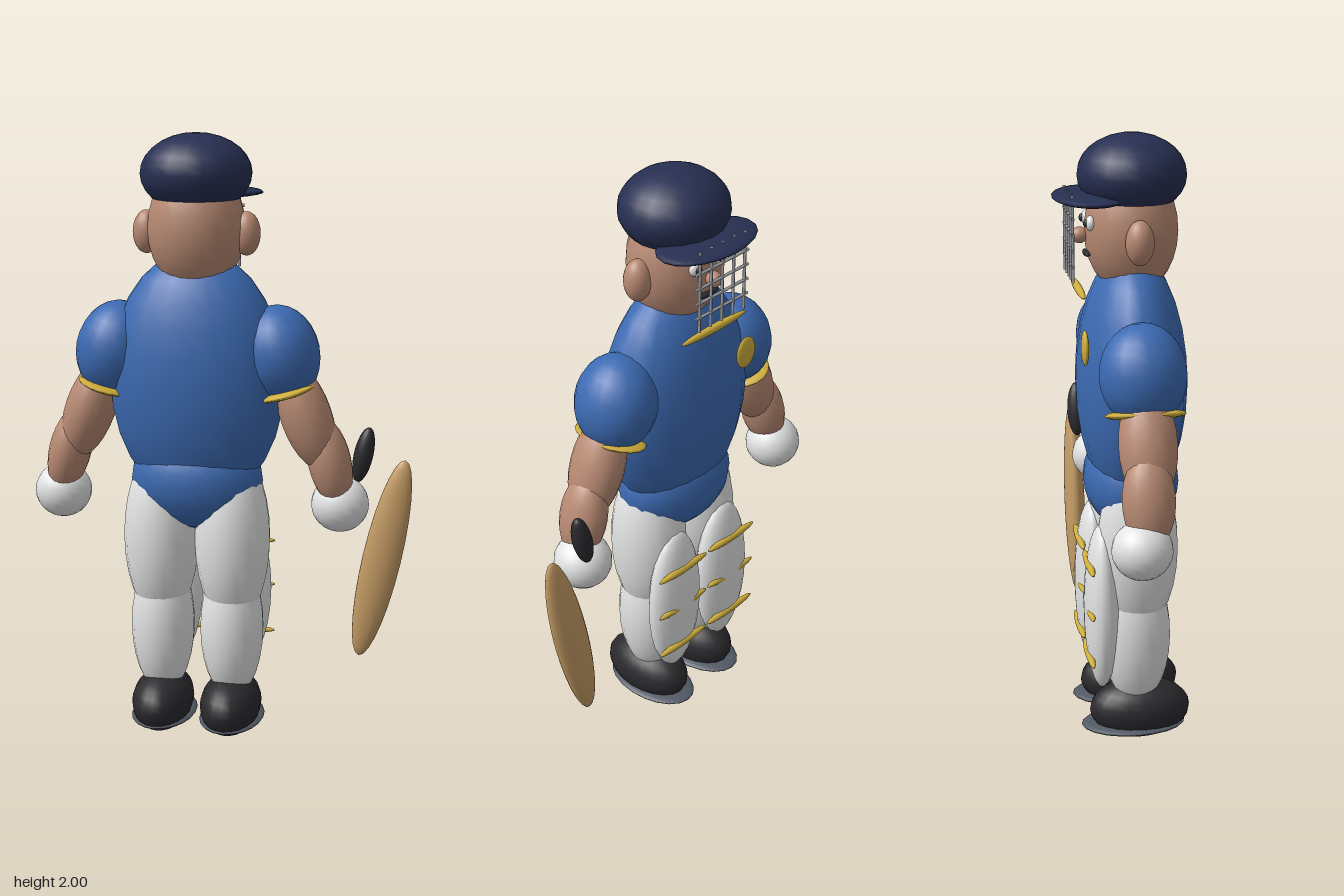
import * as THREE from 'three';

const mat = (name, color) => {
  const m = new THREE.MeshStandardMaterial({ color });
  m.name = name;
  return m;
};

export function createModel() {
  const navy = mat('navy', 0x272f52);
  const skin = mat('skin', 0xb88a73);
  const blue = mat('shirt blue', 0x3c6ab2);
  const gold = mat('gold', 0xcfae3c);
  const white = mat('white', 0xe2e3e3);
  const black = mat('black', 0x2a2a2e);
  const slate = mat('slate', 0x515964);
  const wood = mat('wood', 0xc49b64);
  const steel = mat('steel', 0xa3a6ac);

  const model = new THREE.Group();
  model.name = 'batsman';

  // The body stands left of the centre, since the bat widens the model on one side
  const body = new THREE.Group();
  body.name = 'body';
  body.position.x = -0.068;
  model.add(body);

  const ball = new THREE.SphereGeometry(1, 20, 14);
  const rod = new THREE.CylinderGeometry(0.005, 0.005, 1, 8);

  // Ellipsoid with centre, radii and tilt about z
  function blob(parent, name, material, [x, y, z], [rx, ry, rz], tilt = 0) {
    const m = new THREE.Mesh(ball, material);
    m.name = name;
    m.position.set(x, y, z);
    m.scale.set(rx, ry, rz);
    m.rotation.z = tilt;
    parent.add(m);
    return m;
  }

  // The same ellipsoid on both sides of the body
  function pair(name, material, [x, y, z], radii, tilt = 0) {
    blob(body, name + 'Left', material, [x, y, z], radii, tilt);
    blob(body, name + 'Right', material, [-x, y, z], radii, -tilt);
  }

  // Torso and pelvis
  blob(body, 'torso', blue, [0, 1.21, 0.033], [0.29, 0.42, 0.178]);
  blob(body, 'pelvis', blue, [0, 0.88, 0.033], [0.22, 0.17, 0.155]);
  blob(body, 'badge', gold, [-0.155, 1.36, -0.135], [0.043, 0.056, 0.012]);

  // Head and face, looking towards -z
  blob(body, 'head', skin, [0, 1.7, 0.033], [0.158, 0.21, 0.149]);
  pair('ear', skin, [0.163, 1.685, 0.035], [0.045, 0.07, 0.045]);
  blob(body, 'nose', skin, [0, 1.685, -0.13], [0.025, 0.026, 0.028]);
  pair('eye', white, [0.053, 1.73, -0.102], [0.024, 0.024, 0.016]);
  pair('pupil', black, [0.053, 1.73, -0.116], [0.012, 0.013, 0.009]);
  blob(body, 'mouth', black, [0, 1.628, -0.108], [0.045, 0.01, 0.012]);

  // Helmet with peak, face grille and chin strap
  blob(body, 'helmetDome', navy, [0, 1.873, 0.035], [0.18, 0.127, 0.173]);
  blob(body, 'helmetPeak', navy, [0, 1.805, -0.1], [0.193, 0.021, 0.116]);
  const grille = new THREE.Group();
  grille.name = 'faceGrille';
  body.add(grille);
  for (let i = 0; i < 5; i++) {
    const bar = new THREE.Mesh(rod, steel);
    bar.name = 'grilleUpright';
    bar.position.set((i - 2) * 0.051, 1.69, -0.164);
    bar.scale.y = 0.27;
    grille.add(bar);
  }
  for (let i = 0; i < 4; i++) {
    const bar = new THREE.Mesh(rod, steel);
    bar.name = 'grilleCrossbar';
    bar.position.set(0, 1.605 + i * 0.05, -0.164);
    bar.rotation.z = Math.PI / 2;
    bar.scale.y = 0.235;
    grille.add(bar);
  }
  blob(body, 'chinStrap', gold, [0, 1.515, -0.135], [0.15, 0.014, 0.013]);

  // Arms
  pair('sleeve', blue, [0.272, 1.3, 0.028], [0.13, 0.16, 0.137], 0.2);
  pair('sleeveBand', gold, [0.297, 1.18, 0.032], [0.1, 0.018, 0.128], 0.28);
  pair('upperArm', skin, [0.36, 1.1, 0.03], [0.083, 0.185, 0.092], 0.35);
  pair('forearm', skin, [0.437, 0.95, 0.02], [0.07, 0.15, 0.083], 0.24);
  pair('glove', white, [0.47, 0.804, -0.005], [0.095, 0.092, 0.095]);

  // Legs
  pair('thigh', white, [0.12, 0.68, 0.038], [0.125, 0.3, 0.132]);
  pair('shin', white, [0.118, 0.37, 0.035], [0.106, 0.25, 0.113]);
  pair('shoe', black, [0.117, 0.104, 0.048], [0.101, 0.102, 0.168]);
  pair('sole', slate, [0.117, 0.05, 0.026], [0.108, 0.018, 0.174]);

  // Leg pads with their straps
  pair('legPad', white, [0.118, 0.475, -0.08], [0.113, 0.285, 0.058]);
  for (const y of [0.63, 0.475, 0.31]) {
    pair('padStrap', gold, [0.12, y, -0.122], [0.117, 0.014, 0.014]);
  }

  // Bat
  const bat = new THREE.Group();
  bat.name = 'bat';
  model.add(bat);
  blob(bat, 'batBlade', wood, [0.535, 0.6, -0.077], [0.064, 0.35, 0.036], -0.205);
  blob(bat, 'batHandle', black, [0.468, 0.955, -0.075], [0.032, 0.095, 0.033], -0.205);

  return model;
}
